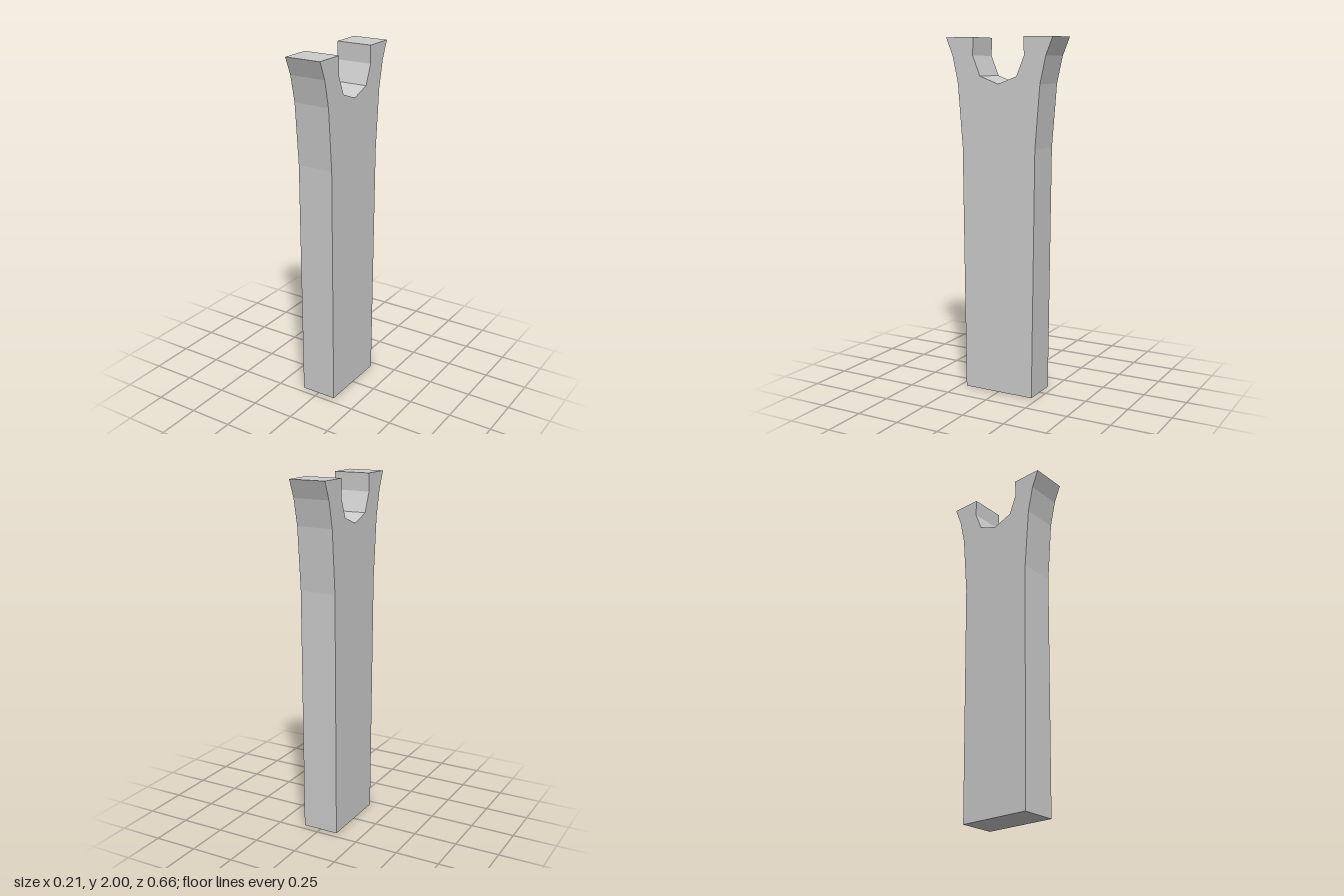
import * as THREE from 'three';

export function createModel() {
  const group = new THREE.Group();
  group.name = 'forkedPost';

  // Half outline [z, y]: base, flared side, prong tip, then down into the notch
  const half = [
    [0.212, 0], [0.226, 1.4], [0.254, 1.75], [0.287, 1.9], [0.328, 2],
    [0.155, 2], [0.158, 1.9], [0.113, 1.79],
  ];
  const notchBottom = [0, 1.748];
  const mirrored = half.map(([z, y]) => [-z, y]).reverse();
  const outline = [...half, notchBottom, ...mirrored];
  const shape = new THREE.Shape(outline.map(([z, y]) => new THREE.Vector2(z, y)));

  // Extrude through the thickness and turn the profile into the z-y plane
  const thickness = 0.21;
  const geometry = new THREE.ExtrudeGeometry(shape, { depth: thickness, bevelEnabled: false });
  geometry.translate(0, 0, -thickness / 2);
  geometry.rotateY(-Math.PI / 2);

  const material = new THREE.MeshStandardMaterial({ color: 0xcccccc, flatShading: true });
  const post = new THREE.Mesh(geometry, material);
  post.name = 'postWithNotchedTop';
  group.add(post);
  return group;
}
